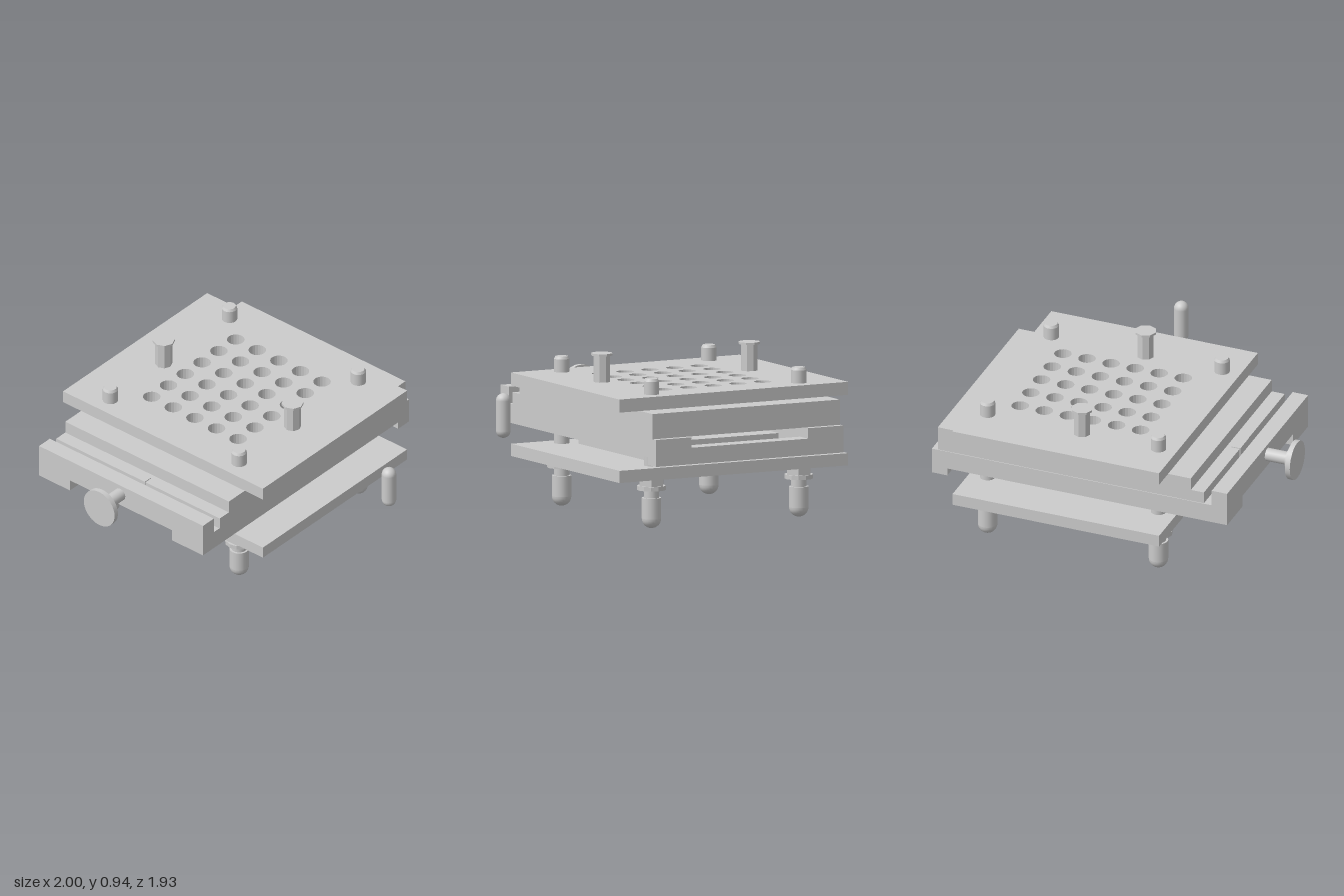
import * as THREE from 'three';

const mat = new THREE.MeshStandardMaterial({ color: 0xcccccc });
const flat = new THREE.MeshStandardMaterial({ color: 0xcccccc, flatShading: true });

export function createModel() {
  const root = new THREE.Group();

  const add = (name, geo, x = 0, y = 0, z = 0, parent = root, material = mat) => {
    const mesh = new THREE.Mesh(geo, material);
    mesh.name = name;
    mesh.position.set(x, y, z);
    parent.add(mesh);
    return mesh;
  };
  // Box given by its limits on each axis
  const box = (name, x0, x1, y0, y1, z0, z1, parent = root) =>
    add(name, new THREE.BoxGeometry(x1 - x0, y1 - y0, z1 - z0),
      (x0 + x1) / 2, (y0 + y1) / 2, (z0 + z1) / 2, parent);
  // Upright cylinder between two heights
  const rod = (name, r, y0, y1, x, z, sides, parent, material = mat) =>
    add(name, new THREE.CylinderGeometry(r, r, y1 - y0, sides), x, (y0 + y1) / 2, z, parent, material);

  // Clamping plates; the upper one has a 6 x 5 grid of holes
  box('lowerPlate', -0.45, 0.82, 0.29, 0.36, -0.97, 0.52);
  const top = new THREE.Shape([
    new THREE.Vector2(-0.45, -0.52), new THREE.Vector2(0.82, -0.52),
    new THREE.Vector2(0.82, 0.97), new THREE.Vector2(-0.45, 0.97),
  ]);
  for (let i = 0; i < 6; i++) {
    for (let j = 0; j < 5; j++) {
      const hole = new THREE.Path();
      hole.absarc(-0.165 + i * 0.148, 0.55 - j * 0.161, 0.05, 0, Math.PI * 2, true);
      top.holes.push(hole);
    }
  }
  const topGeo = new THREE.ExtrudeGeometry(top, { depth: 0.075, bevelEnabled: false, curveSegments: 10 });
  topGeo.rotateX(-Math.PI / 2);
  add('perforatedPlate', topGeo, 0, 0.695, 0);

  // Sliding stage and spacer under it
  box('stagePlate', -0.59, 0.965, 0.62, 0.695, -0.835, 0.385);
  box('slidePlate', -0.67, 0.965, 0.55, 0.62, -0.835, 0.385);
  box('screwPad', -0.675, -0.62, 0.555, 0.625, -0.295, -0.17);
  box('spacer', -0.27, 0.655, 0.36, 0.48, -0.625, 0.18);

  // Base frame: two stepped rails joined by end bars
  const base = new THREE.Group();
  base.name = 'baseFrame';
  root.add(base);
  const railShape = new THREE.Shape([
    [-0.815, 0.44], [0.905, 0.44], [0.905, 0.395], [1, 0.395], [1, 0.55],
    [-0.72, 0.55], [-0.72, 0.645], [-0.815, 0.645],
  ].map(([x, y]) => new THREE.Vector2(x, y)));
  const railGeo = new THREE.ExtrudeGeometry(railShape, { depth: 0.23, bevelEnabled: false });
  add('frontRail', railGeo, 0, 0, 0.152, base);
  add('backRail', railGeo, 0, 0, -0.84, base);
  box('screwBar', -0.815, -0.72, 0.51, 0.645, -0.61, 0.152, base);
  box('endBar', 0.905, 1, 0.395, 0.49, -0.61, 0.152, base);

  // Corner posts with rounded feet and flanged nuts
  const footPoints = [new THREE.Vector2(0, 0)];
  for (let i = 1; i <= 8; i++) {
    const a = (i / 8) * Math.PI / 2;
    footPoints.push(new THREE.Vector2(0.056 * Math.sin(a), 0.056 * (1 - Math.cos(a))));
  }
  const footGeo = new THREE.LatheGeometry(footPoints, 20);
  for (const x of [-0.34, 0.71]) {
    for (const z of [0.25, -0.71]) {
      const post = new THREE.Group();
      post.name = 'cornerPost';
      post.position.set(x, 0, z);
      root.add(post);
      add('footTip', footGeo, 0, 0, 0, post);
      rod('foot', 0.056, 0.056, 0.175, 0, 0, 20, post);
      rod('postRod', 0.044, 0.17, 0.845, 0, 0, 20, post);
      add('postChamfer', new THREE.CylinderGeometry(0.036, 0.044, 0.015, 20), 0, 0.8525, 0, post);
      rod('nutFlange', 0.082, 0.22, 0.245, 0, 0, 12, post, flat);
      rod('hexNut', 0.077, 0.245, 0.29, 0, 0, 6, post, flat);
    }
  }

  // Octagonal studs with wide caps
  for (const z of [0.25, -0.71]) {
    const stud = new THREE.Group();
    stud.name = 'stud';
    stud.position.set(0.13, 0, z);
    root.add(stud);
    rod('studStem', 0.049, 0.77, 0.922, 0, 0, 8, stud, flat);
    rod('studCap', 0.063, 0.922, 0.935, 0, 0, 8, stud, flat);
  }

  // Adjusting screw lying along x
  const screw = new THREE.Group();
  screw.name = 'adjustingScrew';
  screw.position.set(0, 0.585, -0.235);
  root.add(screw);
  const part = (name, rLeft, rRight, x0, x1) => {
    const geo = new THREE.CylinderGeometry(rRight, rLeft, x1 - x0, 24);
    geo.rotateZ(-Math.PI / 2);
    add(name, geo, (x0 + x1) / 2, 0, 0, screw);
  };
  part('knob', 0.115, 0.115, -1, -0.97);
  part('collar', 0.06, 0.06, -0.97, -0.945);
  part('shaft', 0.038, 0.038, -0.945, -0.72);
  part('tip', 0.038, 0, -0.72, -0.683);

  // Separate round-ended pin in front
  add('loosePin', new THREE.CapsuleGeometry(0.042, 0.172, 8, 20), 0.185, 0.628, 0.923);

  return root;
}
